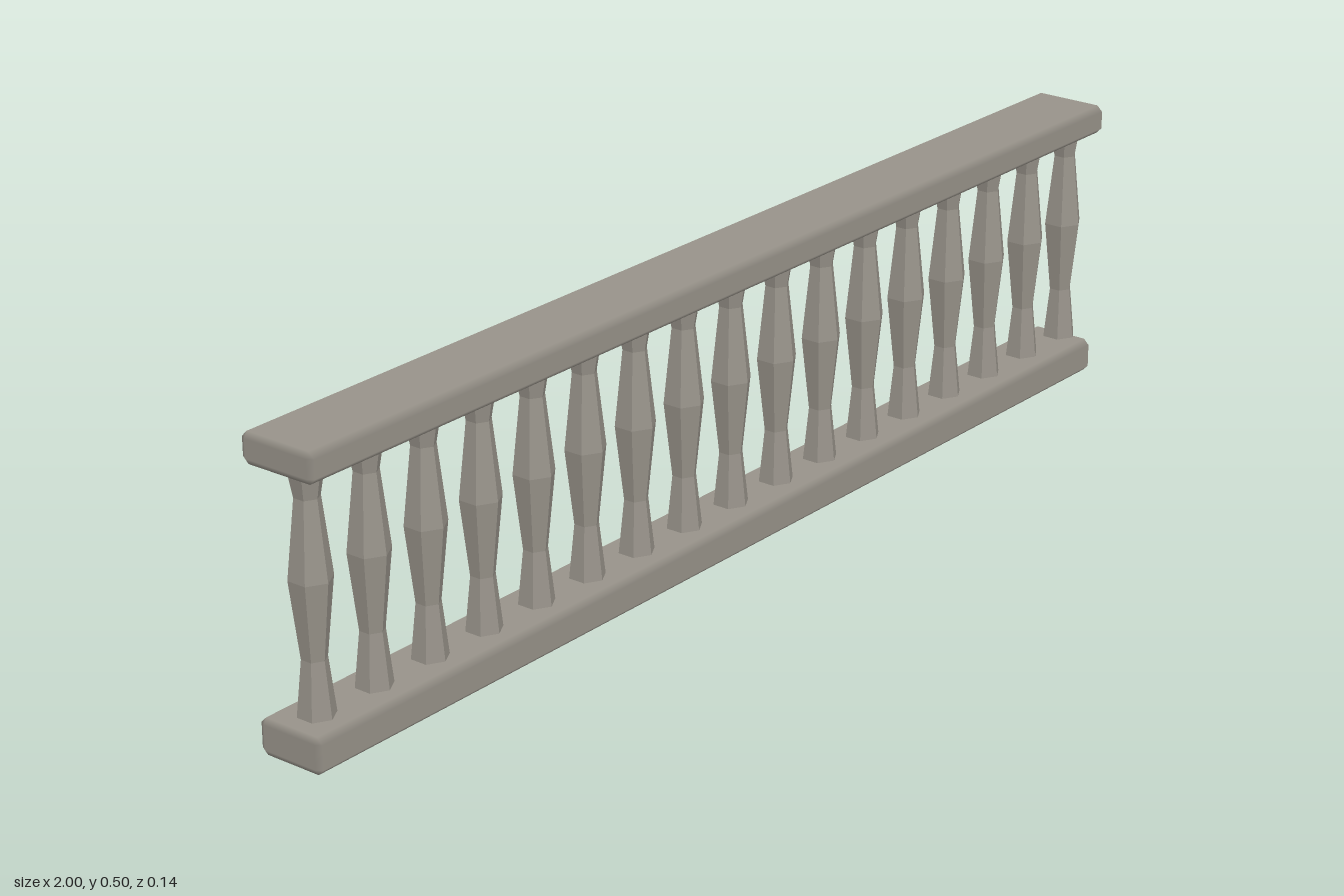
import * as THREE from 'three';
import { ConvexGeometry } from 'three/addons/geometries/ConvexGeometry.js';

// Box with one soft-shaded chamfer along every edge
function chamferedBox(size, chamfer) {
  const half = size.map((s) => s / 2);
  const points = [];
  for (const sx of [-1, 1]) for (const sy of [-1, 1]) for (const sz of [-1, 1]) {
    for (let axis = 0; axis < 3; axis++) {
      const p = half.map((h, i) => (i === axis ? h : h - chamfer[i]));
      points.push(new THREE.Vector3(p[0] * sx, p[1] * sy, p[2] * sz));
    }
  }
  const geometry = new ConvexGeometry(points);
  // Each corner belongs to one main face, so it takes that face's normal
  const pos = geometry.attributes.position;
  const normal = geometry.attributes.normal;
  for (let v = 0; v < pos.count; v++) {
    const p = [pos.getX(v), pos.getY(v), pos.getZ(v)];
    const n = p.map((c, i) => (Math.abs(Math.abs(c) - half[i]) < 1e-4 ? Math.sign(c) : 0));
    normal.setXYZ(v, ...n);
  }
  return geometry;
}

export function createModel() {
  const model = new THREE.Group();
  model.name = 'balustrade';
  const stone = new THREE.MeshStandardMaterial({ color: 0x98938a });
  stone.name = 'stone';
  const facetedStone = stone.clone();
  facetedStone.name = 'faceted stone';
  facetedStone.flatShading = true;

  // Rails: name, bottom, height, depth
  for (const [name, y, height, depth] of [
    ['bottomRail', 0, 0.06, 0.12],
    ['topRail', 0.45, 0.05, 0.138],
  ]) {
    const rail = new THREE.Mesh(chamferedBox([1.984, height, depth], [0.006, 0.01, 0.01]), stone);
    rail.name = name;
    rail.position.set(-0.008, y + height / 2, 0);
    model.add(rail);
  }

  // Six-sided balusters, the last one standing slightly proud of the rail end
  const profile = [
    [0.03, 0.055], [0.03, 0.06], [0.02, 0.15], [0.034, 0.275], [0.02, 0.4], [0.03, 0.455],
  ].map(([r, y]) => new THREE.Vector2(r, y));
  profile.unshift(new THREE.Vector2(0, 0.055));
  profile.push(new THREE.Vector2(0, 0.455));
  const balusterGeometry = new THREE.LatheGeometry(profile, 6);
  const count = 17;
  for (let i = 0; i < count; i++) {
    const baluster = new THREE.Mesh(balusterGeometry, facetedStone);
    baluster.name = `baluster${i + 1}`;
    baluster.position.x = -0.942 + i * 0.1195;
    model.add(baluster);
  }
  return model;
}
